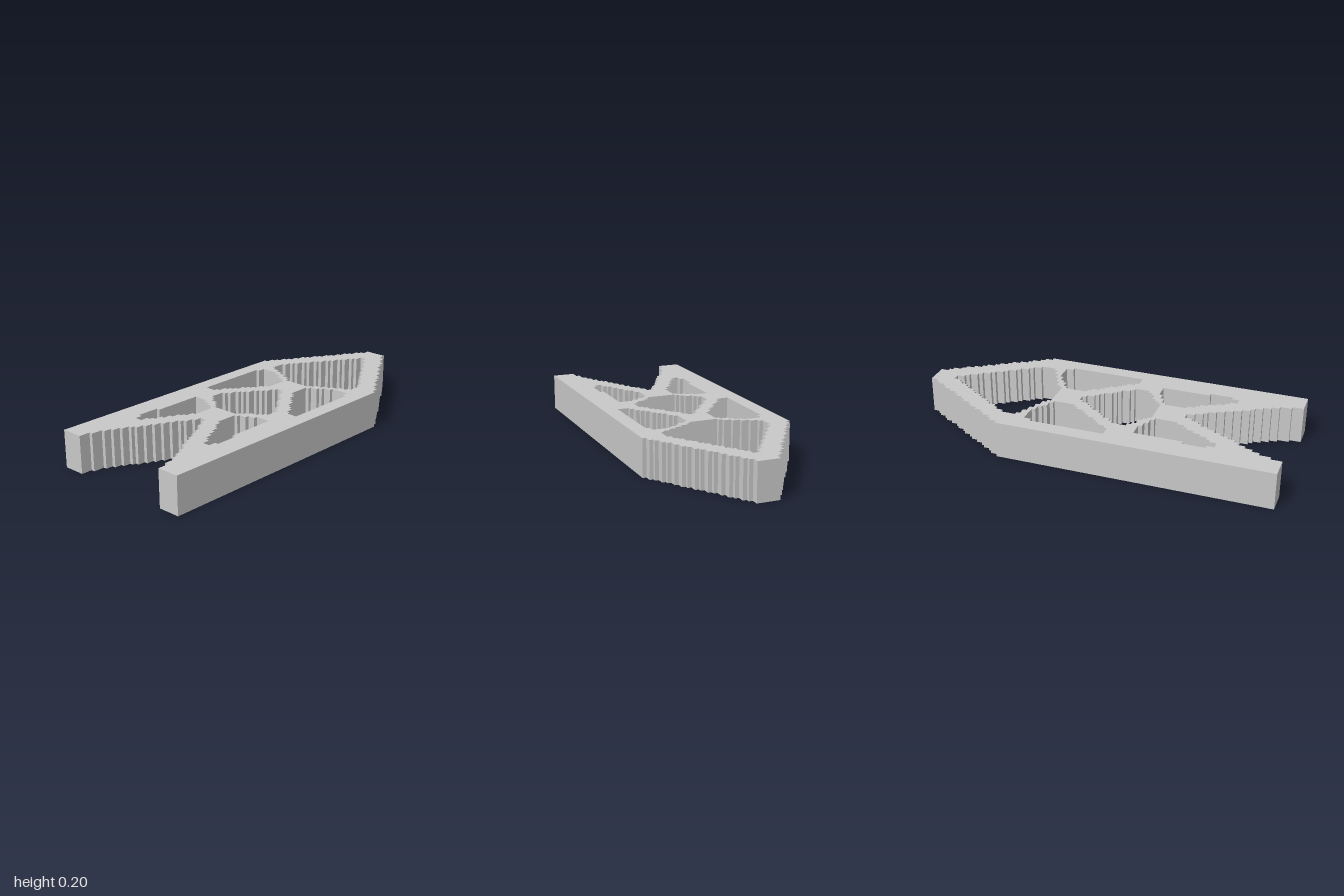
import * as THREE from 'three';

const CELL = 0.02;
const HEIGHT = 0.2;
const snap = (v) => Math.round(v / CELL) * CELL;

// Turns a coarse [x, z] path into a staircase, one step per grid row
function stairs(path) {
  const pts = [];
  const add = (x, z) => {
    const last = pts[pts.length - 1];
    if (!last || Math.hypot(last.x - x, last.y - z) > 1e-6) pts.push(new THREE.Vector2(x, z));
  };
  for (let i = 0; i < path.length - 1; i++) {
    const [x0, z0] = path[i];
    const [x1, z1] = path[i + 1];
    const rows = Math.round(Math.abs(z1 - z0) / CELL);
    add(x0, z0);
    for (let r = 0; r < rows; r++) {
      const x = snap(rows > 1 ? x0 + (x1 - x0) * r / (rows - 1) : x0);
      add(x, z0 + (z1 - z0) * r / rows);
      add(x, z0 + (z1 - z0) * (r + 1) / rows);
    }
    add(x1, z1);
  }
  return pts;
}

const flip = (pts) => pts.map((p) => new THREE.Vector2(p.x, -p.y)).reverse();

// Closes a half path that starts and ends on the centre line
function mirrored(path) {
  const half = stairs(path);
  return [...half, ...flip(half).slice(1, -1)];
}

export function createModel() {
  const group = new THREE.Group();
  const grey = new THREE.MeshStandardMaterial({ color: 0xc8c8c8 });
  grey.name = 'grey';

  // Outer outline: notched left end, straight sides, tapered right end.
  // It runs counter-clockwise so that the walls of the openings face inwards.
  const outline = new THREE.Shape(mirrored([
    [-0.44, 0], [-0.88, 0.26], [-0.94, 0.26], [-0.94, 0.28], [-1, 0.28],
    [-1, 0.4], [0.46, 0.4], [1, 0.04], [1, 0],
  ]).reverse());

  // Openings on the centre line
  const centreHoles = [
    [[-0.28, 0], [-0.28, 0.08], [-0.26, 0.08], [-0.18, 0.2], [-0.1, 0.2], [0.14, 0]],
    [[0.28, 0], [0.28, 0.08], [0.3, 0.08], [0.4, 0.28], [0.48, 0.28], [0.88, 0]],
  ];
  for (const path of centreHoles) outline.holes.push(new THREE.Path(mirrored(path)));

  // Openings repeated on both sides
  const sideHoles = [
    [[-0.42, 0.08], [-0.66, 0.24], [-0.66, 0.26], [-0.62, 0.26], [-0.62, 0.28], [-0.5, 0.28],
      [-0.5, 0.26], [-0.24, 0.26], [-0.24, 0.2], [-0.3, 0.08], [-0.42, 0.08]],
    [[0.14, 0.08], [-0.1, 0.28], [-0.1, 0.32], [0.3, 0.32], [0.3, 0.3],
      [0.34, 0.3], [0.34, 0.22], [0.26, 0.08], [0.14, 0.08]],
  ];
  for (const path of sideHoles) {
    const pts = stairs(path).slice(0, -1);
    outline.holes.push(new THREE.Path(pts), new THREE.Path(flip(pts)));
  }

  // Truss plate lying flat on the ground
  const geometry = new THREE.ExtrudeGeometry(outline, { depth: HEIGHT, bevelEnabled: false });
  geometry.rotateX(-Math.PI / 2);
  const truss = new THREE.Mesh(geometry, grey);
  truss.name = 'trussPlate';
  group.add(truss);
  return group;
}
